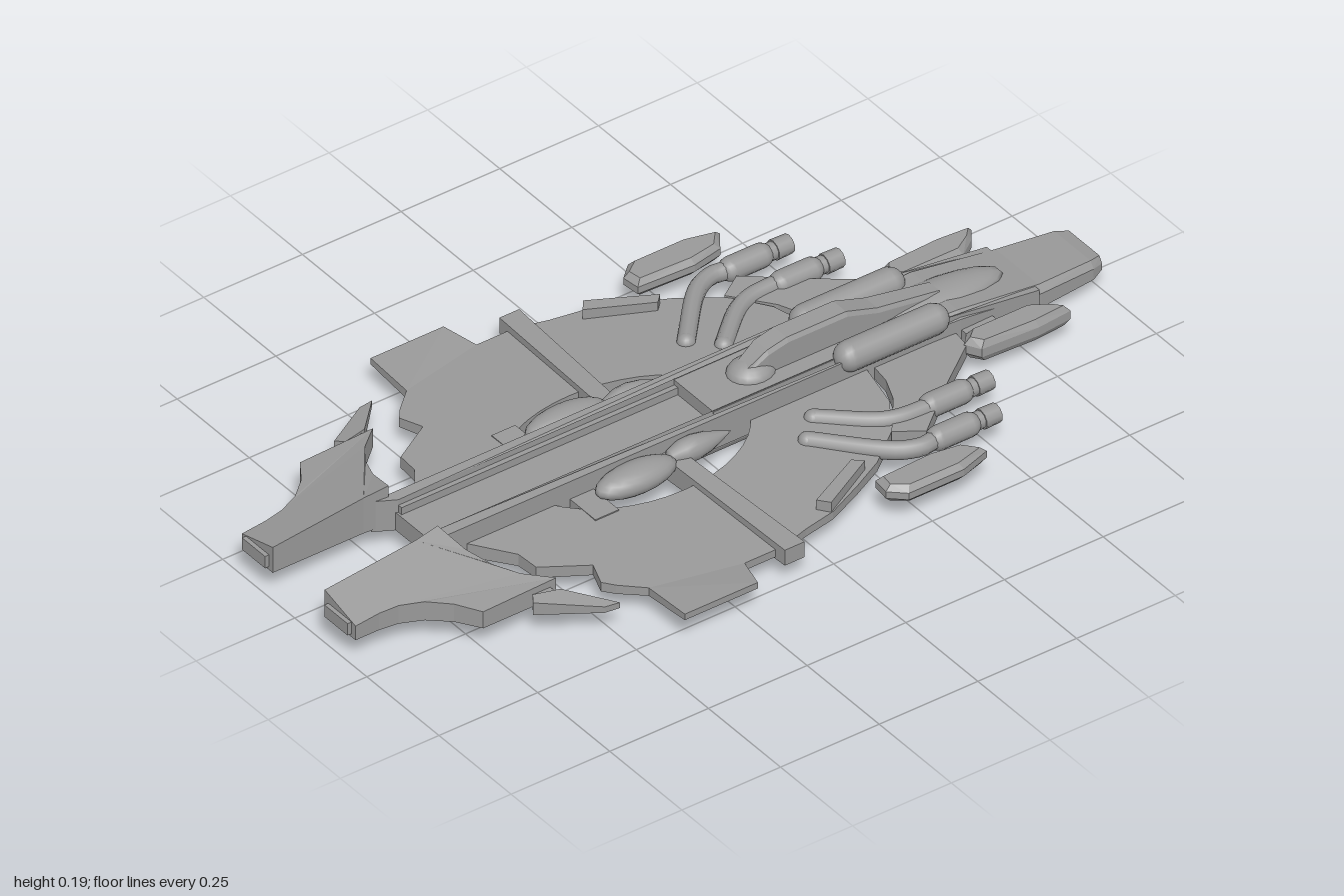
import * as THREE from 'three';

const material = new THREE.MeshStandardMaterial({ color: 0x999999, side: THREE.DoubleSide });

function flat(geo) {
  const g = geo.index ? geo.toNonIndexed() : geo;
  g.computeVertexNormals();
  return g;
}

// Plate from an [x, z] outline; bottom and top are height rules of x and z
function plate(points, bottom, top) {
  const shape = new THREE.Shape(points.map(([x, z]) => new THREE.Vector2(x, -z)));
  const g = new THREE.ExtrudeGeometry(shape, { depth: 1, bevelEnabled: false });
  g.rotateX(-Math.PI / 2);
  const p = g.attributes.position;
  for (let i = 0; i < p.count; i++) {
    const rule = p.getY(i) > 0.5 ? top : bottom;
    p.setY(i, rule(p.getX(i), p.getZ(i)));
  }
  return flat(g);
}

const level = y => () => y;

// Skin over closed rings of equal length, with fan caps
function loft(rings) {
  const n = rings[0].length, index = [];
  for (let r = 0; r < rings.length - 1; r++) {
    for (let i = 0; i < n; i++) {
      const a = r * n + i, b = r * n + (i + 1) % n;
      index.push(a, b, a + n, b, b + n, a + n);
    }
  }
  const last = (rings.length - 1) * n;
  for (let i = 1; i < n - 1; i++) index.push(0, i + 1, i, last, last + i, last + i + 1);
  const g = new THREE.BufferGeometry();
  g.setAttribute('position', new THREE.Float32BufferAttribute(rings.flat(2), 3));
  g.setIndex(index);
  return flat(g);
}

// Pod with chamfered rims: an outline shrunk toward its centre above and below
function pod(points, bottom, top) {
  const n = points.length;
  const cx = points.reduce((a, p) => a + p[0], 0) / n;
  const cz = points.reduce((a, p) => a + p[1], 0) / n;
  const levels = [[0, 0.72], [0.3, 1], [0.7, 1], [1, 0.72]];
  return loft(levels.map(([t, k]) => points.map(([x, z]) =>
    [cx + (x - cx) * k, bottom + t * (top - bottom), cz + (z - cz) * (0.6 + k * 0.4)])));
}

// Hull section with chamfered upper corners
function hullRing([z, w, b, t], slope, chamfer) {
  return [[w, b, z], [-w, b, z], [-w, t - chamfer, z], [-w * slope, t, z], [w * slope, t, z], [w, t - chamfer, z]];
}

function mirrored(geo) {
  const g = geo.index ? geo.toNonIndexed() : geo.clone();
  g.scale(-1, 1, 1);
  for (const name of ['position', 'normal']) {
    const a = g.attributes[name].array;
    for (let i = 0; i < a.length; i += 9) {
      for (let k = 0; k < 3; k++) [a[i + 3 + k], a[i + 6 + k]] = [a[i + 6 + k], a[i + 3 + k]];
    }
  }
  return g;
}

function ellipsoid(x, y, z, rx, ry, rz) {
  return new THREE.SphereGeometry(1, 18, 12).scale(rx, ry, rz).translate(x, y, z);
}

function capsule(x, y, z, radius, length) {
  return new THREE.CapsuleGeometry(radius, length - 2 * radius, 6, 14).rotateX(Math.PI / 2).translate(x, y, z);
}

function box(w, h, d, x, y, z) {
  return new THREE.BoxGeometry(w, h, d).translate(x, y, z);
}

export function createModel() {
  const model = new THREE.Group();
  const add = (name, geo) => {
    const mesh = new THREE.Mesh(geo, material);
    mesh.name = name;
    model.add(mesh);
  };
  const pair = (name, geo) => {
    add(name + 'Left', geo);
    add(name + 'Right', mirrored(geo));
  };

  // Rounded keel, tapering upward to the stern: z, half width, bottom
  const keel = [[0.6, 0.078, 0.035], [0.57, 0.08, 0.005], [-0.25, 0.08, 0.005],
    [-0.6, 0.065, 0.022], [-0.85, 0.04, 0.04], [-0.95, 0.02, 0.05]];
  add('keel', loft(keel.map(([z, w, b]) => {
    const ring = [];
    for (let i = 0; i <= 12; i++) {
      const a = Math.PI * i / 12, c = Math.cos(a);
      ring.push([Math.sign(c) * w * Math.abs(c) ** 0.8, 0.06 - (0.06 - b) * Math.sin(a) ** 0.75, z]);
    }
    return ring;
  })));

  // Spine with a recessed trough between two rails
  add('spineFloor', box(0.15, 0.045, 1.3, 0, 0.0775, 0.045));
  add('spineDeck', box(0.14, 0.035, 0.54, 0, 0.1125, -0.28));
  pair('spineRail', plate([[0.065, 0.69], [0.092, 0.74], [0.092, -0.58], [0.092, -0.82], [0.075, -0.82],
    [0.07, -0.58]], level(0.055), (x, z) => (z < -0.6 ? 0.1 : 0.132)));
  pair('troughEdge', box(0.012, 0.02, 0.7, 0.06, 0.108, 0.34));

  // Stern: z, half width, bottom, top
  const stern = [[-0.5, 0.09, 0.05, 0.132], [-0.62, 0.095, 0.05, 0.13], [-0.83, 0.088, 0.05, 0.1],
    [-0.97, 0.074, 0.05, 0.092], [-1, 0.062, 0.056, 0.086]];
  add('stern', loft(stern.map(s => hullRing(s, 0.85, 0.015))));
  add('sternDome', ellipsoid(0, 0.108, -0.6, 0.055, 0.034, 0.19));

  // Ring-shaped main plates with an oval opening and raised wing tips
  const outer = [[0.08, 0.64], [0.18, 0.565], [0.235, 0.56], [0.295, 0.46], [0.35, 0.48], [0.375, 0.46],
    [0.42, 0.41], [0.545, 0.41], [0.545, 0.225], [0.465, 0.2], [0.465, 0.1], [0.445, 0.03], [0.43, -0.05],
    [0.39, -0.14], [0.35, -0.22], [0.28, -0.31], [0.2, -0.36], [0.08, -0.385]];
  const inner = [];
  for (let i = 0; i <= 16; i++) {
    const a = 1.16 - 2.32 * i / 16;
    inner.push([0.2 * Math.cos(a), 0.16 - 0.28 * Math.sin(a)]);
  }
  const tipRise = x => Math.max(0, x - 0.465) * 0.16;
  pair('ringPlate', plate([...outer, ...inner], x => 0.055 + tipRise(x), x => 0.092 - 0.04 * x + tipRise(x)));
  pair('rearPlate', plate([[0.07, -0.61], [0.14, -0.6], [0.23, -0.48], [0.33, -0.36], [0.29, -0.3],
    [0.2, -0.37], [0.14, -0.395], [0.07, -0.405]], level(0.055), level(0.085)));

  // Cross struts and angled edge blocks
  pair('strut', plate([[0.08, 0.1], [0.495, 0.07], [0.495, 0.12], [0.08, 0.142]],
    level(0.05), x => 0.104 - 0.03 * x));
  pair('edgeBlock', plate([[0.335, -0.165], [0.355, -0.185], [0.43, -0.045], [0.405, -0.025]],
    level(0.058), level(0.1)));
  pair('openingBar', box(0.1, 0.025, 0.06, 0.13, 0.075, 0.34));

  // Forward prongs: concave on both edges, highest at the inner corner
  const prong = [[0.085, 0.7], [0.16, 0.685], [0.22, 0.66], [0.27, 0.625], [0.318, 0.57], [0.318, 0.755],
    [0.265, 0.79], [0.225, 0.835], [0.203, 0.885], [0.197, 0.93], [0.197, 0.99], [0.09, 0.99], [0.09, 0.76]];
  pair('prong', plate(prong, level(0.062), (x, z) => {
    const across = (x - 0.085) / 0.233;
    return 0.16 - 0.075 * across + 0.025 * across * across - 0.11 * Math.max(0, z - 0.7);
  }));
  pair('prongNose', box(0.08, 0.03, 0.04, 0.143, 0.085, 0.98));
  pair('prongFin', plate([[0.43, 0.49], [0.425, 0.525], [0.345, 0.648], [0.325, 0.635], [0.34, 0.575]],
    level(0.065), x => 0.1 - 0.2 * (x - 0.325)));
  pair('finLink', box(0.04, 0.025, 0.04, 0.325, 0.08, 0.605));

  // Dorsal pods: z, half width, bottom, top
  const dorsal = [[-0.12, 0.02, 0.12, 0.145], [-0.18, 0.028, 0.12, 0.185], [-0.23, 0.028, 0.12, 0.196],
    [-0.38, 0.028, 0.12, 0.196], [-0.46, 0.027, 0.12, 0.17], [-0.62, 0.022, 0.11, 0.142]];
  add('dorsalPod', loft(dorsal.map(s => hullRing(s, 0.8, 0.01))));
  add('dorsalBulb', ellipsoid(0, 0.125, -0.155, 0.048, 0.035, 0.055));
  pair('flankPod', capsule(0.077, 0.13, -0.455, 0.034, 0.28));

  // Tanks beside the spine, the small one drawn out to a point at the back
  pair('largeTank', ellipsoid(0.122, 0.098, 0.225, 0.042, 0.032, 0.1));
  const tank = [[0, 0.135], [0.016, 0.13], [0.026, 0.1], [0.028, 0.07], [0.022, 0.035], [0.01, 0], [0, -0.025]];
  pair('smallTank', new THREE.LatheGeometry(tank.map(([r, z]) => new THREE.Vector2(r, z)).reverse(), 16)
    .rotateX(Math.PI / 2).translate(0.11, 0.1, 0));

  // Bent exhaust pipes with thicker housings
  const pipes = [
    [[0.36, -0.51], [0.36, -0.36], [0.365, -0.325], [0.352, -0.285], [0.325, -0.25], [0.21, -0.145]],
    [[0.26, -0.565], [0.262, -0.39], [0.257, -0.34], [0.24, -0.3], [0.155, -0.2]],
  ];
  pipes.forEach((points, i) => {
    const path = new THREE.CatmullRomCurve3(points.map(([x, z]) => new THREE.Vector3(x, 0.082, z)));
    pair('pipe' + (i + 1), new THREE.TubeGeometry(path, 28, 0.02, 10));
    const [x, z] = points[0], [ex, ez] = points.at(-1);
    pair('pipeHousing' + (i + 1), capsule(x, 0.082, z + 0.105, 0.027, 0.13));
    pair('pipeMouth' + (i + 1), new THREE.CylinderGeometry(0.023, 0.022, 0.04, 10)
      .rotateX(Math.PI / 2).translate(x, 0.082, z + 0.015));
    pair('pipeTip' + (i + 1), ellipsoid(ex, 0.082, ez, 0.02, 0.02, 0.02));
  });

  // Faceted nacelles at the stern and the outer rim
  pair('sternNacelle', pod([[0.172, -0.84], [0.145, -0.82], [0.111, -0.775], [0.111, -0.62],
    [0.138, -0.595], [0.172, -0.615], [0.18, -0.755]], 0.05, 0.102));
  pair('nacelleMount', box(0.05, 0.025, 0.08, 0.105, 0.075, -0.66));
  pair('rimNacelle', pod([[0.463, -0.415], [0.42, -0.385], [0.405, -0.31], [0.412, -0.17],
    [0.455, -0.165], [0.487, -0.2], [0.487, -0.34]], 0.06, 0.102));

  return model;
}
